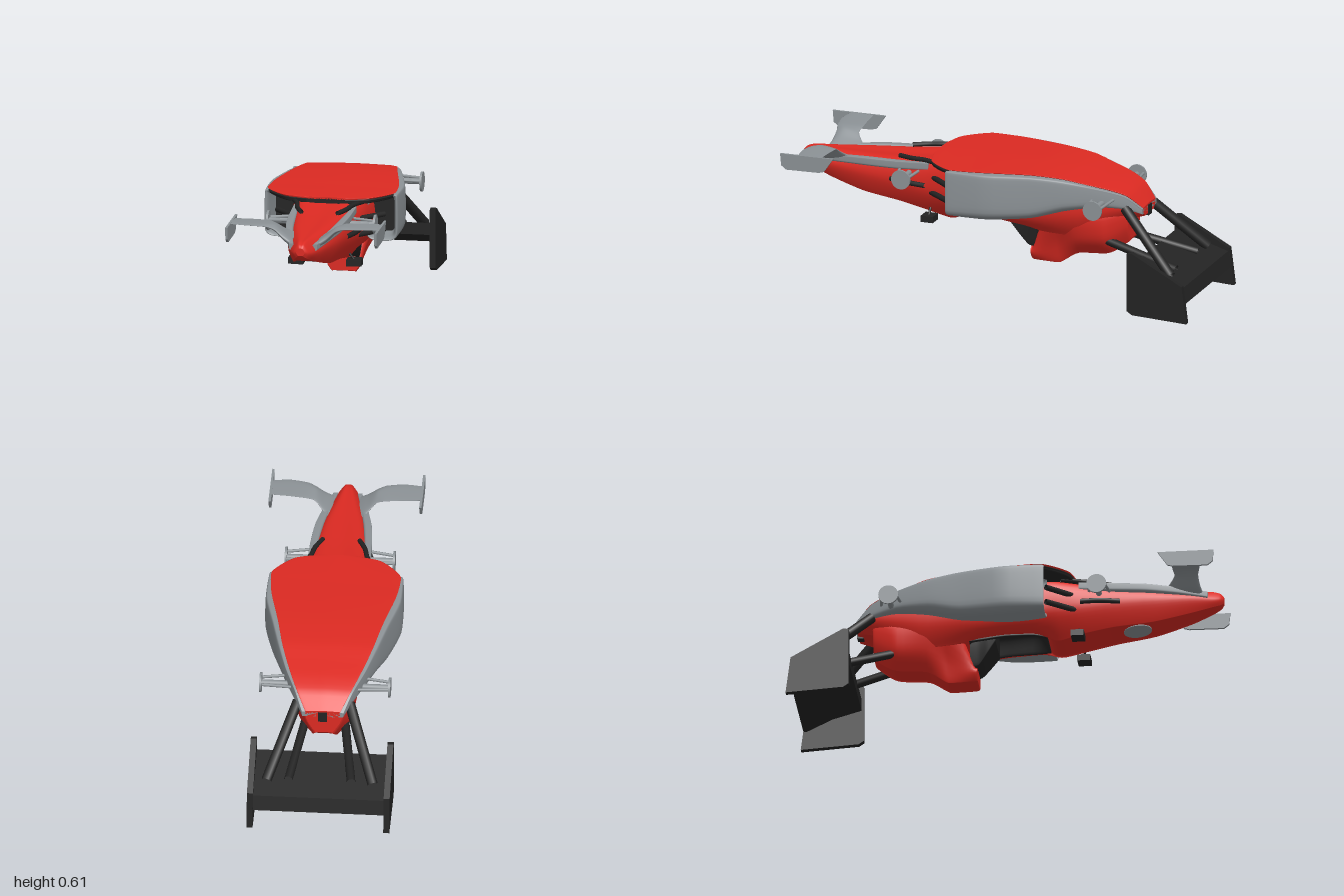
import * as THREE from 'three';

const mat = (color) => new THREE.MeshStandardMaterial({ color, side: THREE.DoubleSide });
const V = (x, y, z) => new THREE.Vector3(x, y, z);

// Smooth skin through rings of control points, listed clockwise from +z, running towards -z
function loft(rings, { n = 45, sub = 4, round = 0.5 } = {}) {
  const rails = rings[0].map((_, k) =>
    new THREE.CatmullRomCurve3(rings.map((r) => V(...r[k])), false, 'catmullrom', 0.35));
  const rows = (rings.length - 1) * sub + 1, pos = [], idx = [];
  for (let i = 0; i < rows; i++) {
    const ring = new THREE.CatmullRomCurve3(rails.map((c) => c.getPoint(i / (rows - 1))), true, 'catmullrom', round);
    for (let j = 0; j < n; j++) pos.push(...ring.getPoint(j / n).toArray());
  }
  for (let i = 0; i < rows - 1; i++) for (let j = 0; j < n; j++) {
    const a = i * n + j, b = i * n + (j + 1) % n;
    idx.push(a, b, a + n, b, b + n, a + n);
  }
  // End caps with their own vertices so the rims stay sharp
  for (const row of [0, rows - 1]) {
    const s = pos.length / 3;
    pos.push(...pos.slice(row * n * 3, (row + 1) * n * 3));
    for (let j = 1; j < n - 1; j++) idx.push(s, ...(row ? [s + j, s + j + 1] : [s + j + 1, s + j]));
  }
  const g = new THREE.BufferGeometry();
  g.setAttribute('position', new THREE.Float32BufferAttribute(pos, 3));
  g.setIndex(idx);
  g.computeVertexNormals();
  return g;
}

// Symmetric hull ring: top, middle and bottom heights with half widths, and a dent in the underside
const hull = ([z, yT, wT, yM, wM, yB, wB, dent = 0]) => [
  [0, yT + 0.003, z], [wT, yT, z], [wM, yM, z], [wB, yB, z], [wB * 0.75, yB + dent, z],
  [-wB * 0.75, yB + dent, z], [-wB, yB, z], [-wM, yM, z], [-wT, yT, z]];

// Rounded box ring between two x and two y limits
function boxRing([z, x0, x1, y0, y1]) {
  const c = Math.min(x1 - x0, y1 - y0) * 0.22;
  return [[x0 + c, y1, z], [x1 - c * 0.5, y1, z], [x1, y1 - c * 0.5, z], [x1, y0 + c, z],
    [x1 - c, y0, z], [x0 + c, y0, z], [x0, y0 + c, z], [x0, y1 - c, z]];
}

const rod = (r, ...pts) => new THREE.TubeGeometry(
  new THREE.CatmullRomCurve3(pts.map((p) => V(...p))), pts.length > 2 ? 16 : 1, r, 10);
const box = (w, h, d, x, y, z) => new THREE.BoxGeometry(w, h, d).translate(x, y, z);

// Extrudes a [z, y] outline across x, from x0 to x1
function sidePlate(pts, x0, x1) {
  const shape = new THREE.Shape(pts.map(([z, y]) => new THREE.Vector2(-z, y)));
  return new THREE.ExtrudeGeometry(shape, { depth: x1 - x0, bevelEnabled: false })
    .rotateY(Math.PI / 2).translate(x0, 0, 0);
}

function mirrored(geo) {
  const g = geo.clone().scale(-1, 1, 1);
  const ix = g.index ? Array.from(g.index.array) : Array.from({ length: g.attributes.position.count }, (_, i) => i);
  for (let i = 0; i < ix.length; i += 3) [ix[i + 1], ix[i + 2]] = [ix[i + 2], ix[i + 1]];
  g.setIndex(ix);
  return g;
}

export function createModel() {
  const model = new THREE.Group();
  const red = mat(0xdc2a22), grey = mat(0x8c9296), dark = mat(0x232323);
  const add = (name, geo, m) => {
    const mesh = new THREE.Mesh(geo, m);
    mesh.name = name;
    model.add(mesh);
  };
  const pair = (name, geo, m) => {
    add(name + 'Left', geo, m);
    add(name + 'Right', mirrored(geo), m);
  };

  // Nose and central tub, dented for the cockpit
  add('tub', loft([
    [1.0, 0.532, 0.01, 0.515, 0.02, 0.5, 0.012],
    [0.985, 0.545, 0.016, 0.512, 0.036, 0.487, 0.026],
    [0.95, 0.554, 0.022, 0.508, 0.052, 0.473, 0.04],
    [0.85, 0.556, 0.042, 0.505, 0.083, 0.44, 0.063],
    [0.68, 0.559, 0.08, 0.49, 0.115, 0.397, 0.085],
    [0.5, 0.565, 0.105, 0.475, 0.137, 0.374, 0.1],
    [0.35, 0.575, 0.125, 0.455, 0.155, 0.344, 0.105],
    [0.25, 0.585, 0.145, 0.44, 0.17, 0.32, 0.1],
    [0.2, 0.59, 0.15, 0.435, 0.177, 0.328, 0.105, 0.01],
    [0.13, 0.592, 0.155, 0.42, 0.185, 0.343, 0.115, 0.09],
    [0, 0.595, 0.16, 0.41, 0.189, 0.342, 0.122, 0.09],
    [-0.1, 0.595, 0.16, 0.405, 0.19, 0.33, 0.125, 0.09],
    [-0.2, 0.59, 0.16, 0.41, 0.185, 0.315, 0.13],
    [-0.4, 0.565, 0.13, 0.42, 0.16, 0.31, 0.115],
    [-0.6, 0.515, 0.10, 0.45, 0.12, 0.39, 0.08],
    [-0.695, 0.455, 0.07, 0.44, 0.08, 0.415, 0.055]].map(hull), { n: 63 }), red);

  // Cockpit lining: a dark trough inside the dent
  add('cockpitLining', loft([[0.19, 0.088, 0.334, 0.008], [0.13, 0.108, 0.343, 0.083], [0, 0.115, 0.342, 0.083],
    [-0.1, 0.117, 0.33, 0.083], [-0.17, 0.117, 0.32, 0.008]].map(([z, w, y, d]) => [
    [-0.73 * w, y + d, z], [0.73 * w, y + d, z], [w, y, z], [w - 0.015, y - 0.004, z],
    [0.73 * w - 0.012, y + d - 0.012, z], [-0.73 * w + 0.012, y + d - 0.012, z],
    [-w + 0.015, y - 0.004, z], [-w, y, z]]), { round: 0.2 }), dark);
  add('headrest', loft([[-0.05, 0.325, 0.1], [-0.09, 0.27, 0.09], [-0.13, 0.22, 0.075], [-0.17, 0.215, 0.07]]
    .map(([z, y, w]) => hull([z, 0.42, 0.085, (0.42 + y) / 2, (0.1 + w) / 2, y, w])), { round: 0.3 }), dark);

  // Intake box and engine cover
  add('engineCover', loft([
    [-0.138, 0.207, 0.06, 0.185, 0.077, 0.15, 0.055],
    [-0.15, 0.215, 0.06, 0.185, 0.08, 0.146, 0.058],
    [-0.2, 0.33, 0.10, 0.2, 0.08, 0.145, 0.058],
    [-0.27, 0.40, 0.14, 0.24, 0.085, 0.147, 0.058],
    [-0.3, 0.41, 0.14, 0.26, 0.095, 0.163, 0.06],
    [-0.37, 0.42, 0.14, 0.29, 0.122, 0.205, 0.065],
    [-0.5, 0.43, 0.12, 0.3, 0.125, 0.216, 0.065],
    [-0.55, 0.44, 0.11, 0.32, 0.11, 0.235, 0.06],
    [-0.61, 0.45, 0.09, 0.36, 0.09, 0.28, 0.05],
    [-0.62, 0.45, 0.085, 0.36, 0.08, 0.29, 0.04]].map(hull)), red);

  // Floor skin and the dark plate beneath its leading edge
  const floor = [[0.332, 0.09, 0.612], [0.305, 0.19, 0.612], [0.25, 0.25, 0.612], [0.185, 0.293, 0.612],
    [0.1, 0.292, 0.612], [0, 0.28, 0.613], [-0.2, 0.238, 0.612], [-0.35, 0.21, 0.6],
    [-0.45, 0.183, 0.577], [-0.55, 0.152, 0.554], [-0.63, 0.12, 0.523], [-0.695, 0.08, 0.46]];
  const slab = (drop, thick) => ([z, w, y]) => hull(
    [z, y - drop, w * 0.96, y - drop - thick / 2, w, y - drop - thick, w * 0.96]);
  add('floor', loft(floor.map(slab(0, 0.008)), { round: 0.3 }), red);
  add('floorLeadingPlate', loft(floor.slice(0, 6).map(slab(0.007, 0.02)), { round: 0.3 }), dark);

  // Sidepods with a hollow inlet
  pair('sidepod', loft([
    [0.05, 0.18, 0.275, 0.405, 0.567], [0.17, 0.175, 0.292, 0.4, 0.585],
    [0.195, 0.17, 0.303, 0.39, 0.597], [0.18, 0.16, 0.311, 0.384, 0.604],
    [0, 0.12, 0.313, 0.382, 0.606], [-0.2, 0.1, 0.268, 0.4, 0.605],
    [-0.35, 0.08, 0.232, 0.44, 0.593], [-0.5, 0.05, 0.186, 0.465, 0.56],
    [-0.62, 0.03, 0.135, 0.455, 0.522], [-0.695, 0.02, 0.095, 0.43, 0.455]].map(boxRing), { n: 40, round: 0.35 }), grey);
  pair('radiator', box(0.1, 0.16, 0.02, 0.226, 0.485, 0.075), dark);

  // Grey edging along the nose shoulders
  pair('noseEdging', loft([[0.93, 0.045, 0.066, 0.51, 0.54], [0.8, 0.07, 0.1, 0.52, 0.553],
    [0.65, 0.093, 0.13, 0.527, 0.565], [0.5, 0.108, 0.142, 0.532, 0.57],
    [0.34, 0.125, 0.146, 0.545, 0.578]].map(boxRing), { n: 32, round: 0.3 }), grey);
  add('noseRoundel', new THREE.CylinderGeometry(0.065, 0.065, 0.012, 32)
    .rotateX(-0.11).translate(0, 0.388, 0.6), grey);

  // Front wing: aerofoil sections from root to tip [x, y, front z, back z, thickness]
  const wing = [[0.06, 0.53, 0.91, 0.7, 0.03], [0.1, 0.556, 0.9, 0.75, 0.036], [0.14, 0.591, 0.895, 0.785, 0.03],
    [0.18, 0.607, 0.905, 0.78, 0.014], [0.26, 0.612, 0.915, 0.785, 0.007], [0.345, 0.613, 0.905, 0.79, 0.006]];
  pair('frontWing', loft(wing.map(([x, y, f, b, t]) => [
    [x, y, f], [x, y + t / 2, f - 0.03], [x, y + t / 3, b + 0.03],
    [x, y, b], [x, y - t / 3, b + 0.03], [x, y - t / 2, f - 0.03]]), { n: 36 }), grey);
  pair('frontWingEndplate', sidePlate([[0.99, 0.616], [0.73, 0.616], [0.775, 0.55], [0.8, 0.543], [0.96, 0.541],
    [0.985, 0.56]], 0.343, 0.354), grey);

  // Rear wing
  pair('rearWingEndplate', sidePlate([[-0.705, 0.31], [-0.73, 0.315], [-0.975, 0.18], [-0.998, 0.003],
    [-0.73, 0.018], [-0.705, 0.035]], 0.302, 0.33), dark);
  add('rearWingMainPlane', sidePlate([[-0.715, 0.245], [-0.97, 0.165], [-0.985, 0.093], [-0.97, 0.093],
    [-0.85, 0.15], [-0.715, 0.188]], -0.304, 0.304), dark);
  pair('outerWingStrut', rod(0.024, [0.12, 0.46, -0.62], [0.245, 0.2, -0.89]), dark);
  pair('innerWingStrut', rod(0.02, [0.085, 0.295, -0.48], [0.145, 0.2, -0.88]), dark);
  add('tailLight', box(0.04, 0.05, 0.03, 0, 0.43, -0.685), dark);

  // Wheel hubs carried on grey arms
  for (const [name, x, y, z, root] of [['front', 0.25, 0.52, 0.435, 0.11], ['rear', 0.298, 0.49, -0.525, 0.14]]) {
    pair(name + 'Hub', new THREE.CylinderGeometry(0.046, 0.046, 0.01, 28).rotateZ(Math.PI / 2).translate(x, y, z), grey);
    pair(name + 'Axle', rod(0.014, [root, y, z], [x, y, z]), grey);
    for (const [i, s] of [-1, 1].entries())
      pair(name + 'Arm' + i, rod(0.007, [root, y + 0.015, z + s * 0.05], [x, y + 0.008, z + s * 0.03]), grey);
  }

  // Dark links and vanes beside the tub
  pair('lowerLink', rod(0.013, [0.14, 0.44, 0.33], [0.25, 0.44, 0.2]), dark);
  pair('upperLink', rod(0.013, [0.13, 0.513, 0.33], [0.25, 0.513, 0.2]), dark);
  pair('sideVane', rod(0.012, [0.13, 0.48, 0.53], [0.155, 0.478, 0.44], [0.162, 0.474, 0.35]), dark);
  pair('floorVane', rod(0.011, [0.17, 0.585, 0.26], [0.13, 0.588, 0.36], [0.115, 0.585, 0.43], [0.085, 0.582, 0.5]), dark);

  // Mirrors
  pair('mirror', box(0.07, 0.03, 0.06, 0.142, 0.311, 0.337).rotateZ(0.02), dark);
  pair('mirrorStem', rod(0.006, [0.1, 0.37, 0.34], [0.145, 0.31, 0.34]), dark);
  return model;
}
